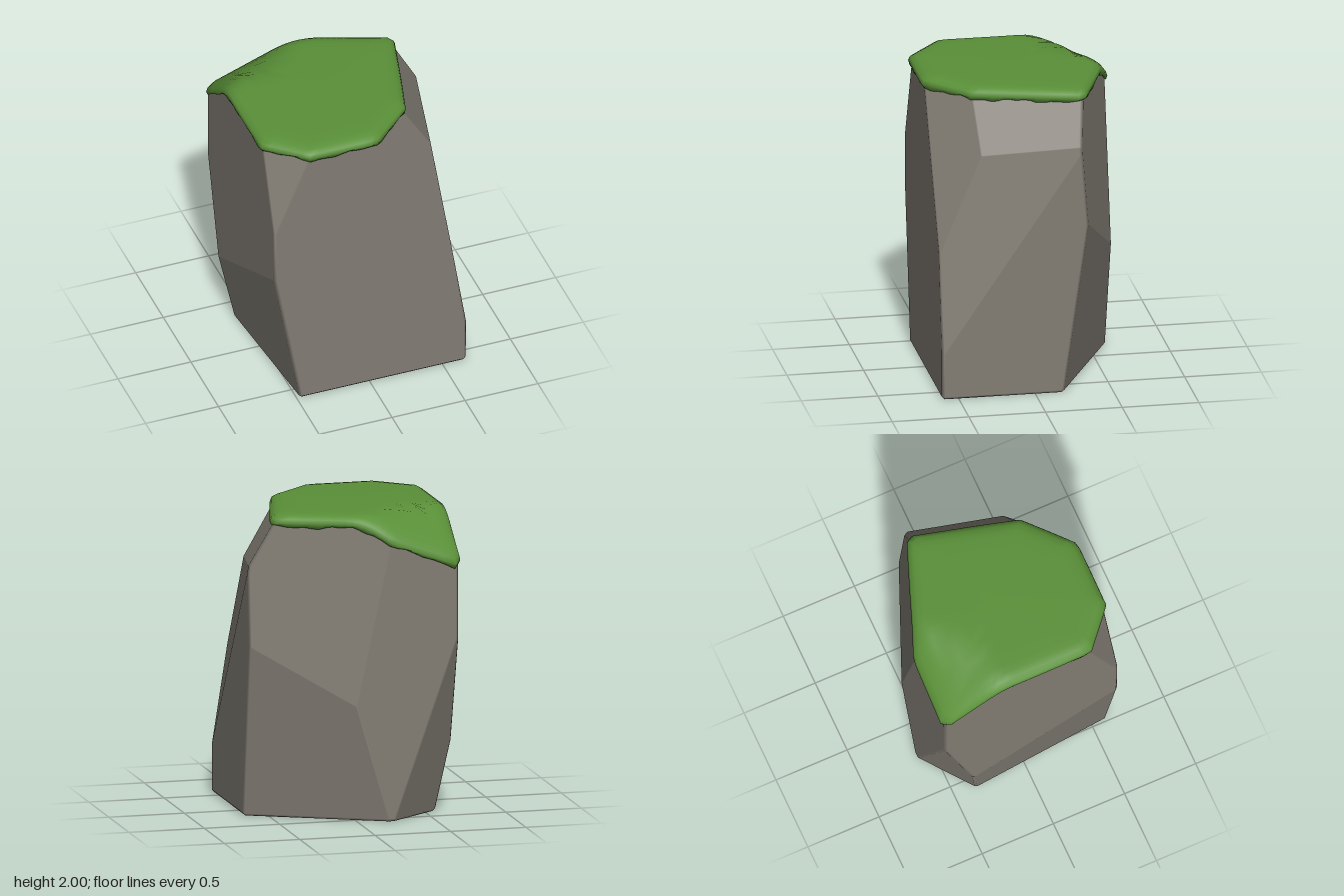
import * as THREE from 'three';
import { ConvexGeometry } from 'three/addons/geometries/ConvexGeometry.js';

// a plane keeps the side where normal . p <= d
function plane(x, y, z, d) {
  const n = new THREE.Vector3(x, y, z);
  const len = n.length();
  return { n: n.divideScalar(len), d: d / len };
}

// cuts round the sides of the boulder
const sides = [
  plane(1, 0, 0, 0.66), plane(-1, 0, 0, 0.66),
  plane(0, 0, 1, 0.61), plane(0, 0, -1, 0.61),
  plane(0.447, -0.127, -0.894, 0.456), // lower back, +x
  plane(0.37, 0.08, -1, 0.677),        // upper back, +x
  plane(-0.611, -0.215, -0.792, 0.625), // lower back, -x
  plane(1, 0.157, 0.23, 0.845),        // leaning +x side
  plane(1, 0.586, 0.274, 1.543),       // shoulder, +x
  plane(0.916, 0.487, 1, 1.58),        // front shoulder, +x
  plane(-1, -0.18, 0.095, 0.537),      // undercut, -x
  plane(-1 / 0.23, 1 / 0.55, 1 / 0.2, 8.361) // front shoulder, -x
];
const TOP = 1.95, SLOPE = 2.35;
const caps = [
  plane(0, -1, 0, 0), plane(0, 1, 0, TOP),
  plane(-0.37, 1, -0.7, SLOPE) // back corner falling away
];

// corners of the solid bounded by the planes, each with the planes meeting there
function corners(planes, inset) {
  const found = [];
  const m = new THREE.Matrix3();
  for (let i = 0; i < planes.length; i++)
    for (let j = i + 1; j < planes.length; j++)
      for (let k = j + 1; k < planes.length; k++) {
        const [a, b, c] = [planes[i], planes[j], planes[k]];
        m.set(a.n.x, a.n.y, a.n.z, b.n.x, b.n.y, b.n.z, c.n.x, c.n.y, c.n.z);
        if (Math.abs(m.determinant()) < 1e-4) continue;
        const p = new THREE.Vector3(a.d - inset, b.d - inset, c.d - inset)
          .applyMatrix3(m.invert());
        if (planes.every(q => q.n.dot(p) <= q.d - inset + 1e-6))
          found.push({ p, meet: [a, b, c] });
      }
  return found;
}

// boulder with softly rounded edges: every face keeps its own plane normal
function boulderGeometry() {
  const planes = [...sides, ...caps];
  const r = 0.02;
  const points = [];
  for (const { p, meet } of corners(planes, r))
    for (const q of meet) points.push(p.clone().addScaledVector(q.n, r));
  const geo = new ConvexGeometry(points);
  const pos = geo.attributes.position, nor = geo.attributes.normal;
  const v = new THREE.Vector3();
  for (let i = 0; i < pos.count; i++) {
    v.fromBufferAttribute(pos, i);
    let best = planes[0];
    for (const q of planes)
      if (q.n.dot(v) - q.d > best.n.dot(v) - best.d) best = q;
    nor.setXYZ(i, best.n.x, best.n.y, best.n.z);
  }
  return geo;
}

// moss sheet draped over the top, with a thick ragged rim
function mossGeometry() {
  const N = 80, cx = -0.1, cz = 0;
  const height = (x, z) => {
    const a = TOP, b = SLOPE + 0.37 * x + 0.7 * z, k = 0.06;
    const h = Math.max(k - Math.abs(a - b), 0) / k;
    return Math.min(a, b) - h * h * k * 0.25;
  };
  const inside = (x, y, z) => sides.every(q => q.n.x * x + q.n.y * y + q.n.z * z <= q.d);
  const reach = t => {
    let lo = 0, hi = 1.5;
    for (let i = 0; i < 30; i++) {
      const r = (lo + hi) / 2, x = cx + r * Math.cos(t), z = cz + r * Math.sin(t);
      if (inside(x, height(x, z) - 0.02, z)) lo = r; else hi = r;
    }
    return lo;
  };
  // rings: scale of the reach, outward offset, lift above the rock
  const rings = [
    [1, -0.03, -0.035], [1, 0.014, -0.035], [1, 0.024, -0.01], [1, 0.014, 0.015],
    [1, -0.02, 0.034], [0.92, -0.02, 0.041], [0.8, 0, 0.044], [0.62, 0, 0.046],
    [0.42, 0, 0.047], [0.2, 0, 0.048], [0, 0, 0.049]
  ];
  const pos = [], idx = [];
  const reaches = Array.from({ length: N }, (_, i) => reach(i / N * Math.PI * 2));
  rings.forEach(([s, out, lift], j) => {
    for (let i = 0; i < N; i++) {
      const t = i / N * Math.PI * 2;
      const r = reaches[i] * s + out;
      const x = cx + r * Math.cos(t), z = cz + r * Math.sin(t);
      const ragged = j < 2 ? 0.007 * Math.sin(9 * t) + 0.006 * Math.sin(23 * t + 1) : 0;
      pos.push(x, height(x, z) + lift + ragged, z);
      if (j === rings.length - 1) continue;
      const a = j * N + i, b = j * N + (i + 1) % N, c = a + N, d = b + N;
      idx.push(a, c, b);
      if (j < rings.length - 2) idx.push(b, c, d);
    }
  });
  const geo = new THREE.BufferGeometry();
  geo.setAttribute('position', new THREE.Float32BufferAttribute(pos, 3));
  geo.setIndex(idx);
  geo.computeVertexNormals();
  // the centre points share one upright normal
  for (let i = pos.length / 3 - N; i < pos.length / 3; i++)
    geo.attributes.normal.setXYZ(i, 0, 1, 0);
  return geo;
}

export function createModel() {
  const stone = new THREE.MeshStandardMaterial({ color: 0x827d74 });
  stone.name = 'stone grey';
  const green = new THREE.MeshStandardMaterial({ color: 0x5a9038, side: THREE.DoubleSide });
  green.name = 'moss green';

  const group = new THREE.Group();
  group.name = 'mossyBoulder';
  const boulder = new THREE.Mesh(boulderGeometry(), stone);
  boulder.name = 'boulder';
  const moss = new THREE.Mesh(mossGeometry(), green);
  moss.name = 'mossCap';
  group.add(boulder, moss);
  return group;
}
